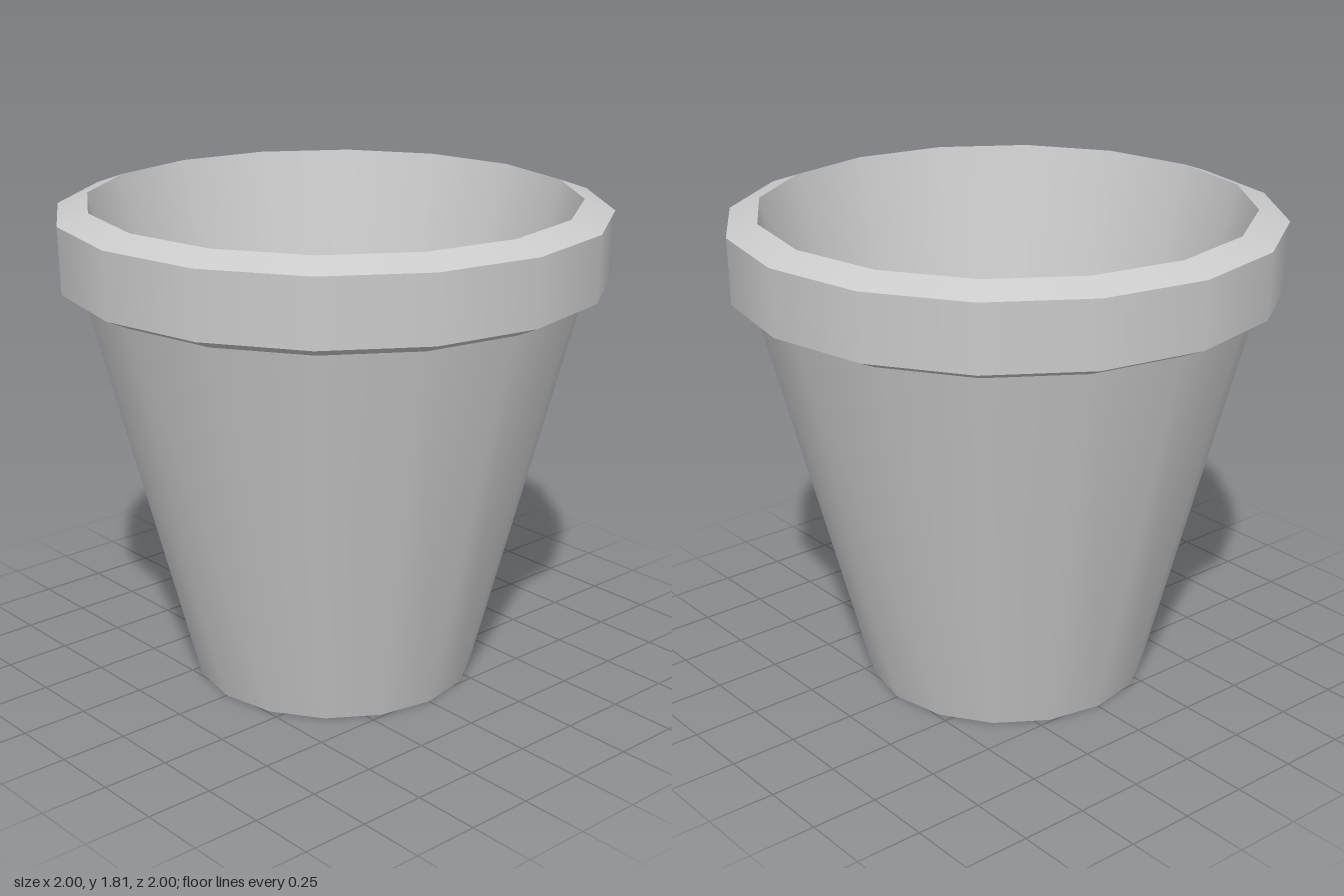
import * as THREE from 'three';

const SIDES = 16;
const material = new THREE.MeshStandardMaterial({ color: 0xcccccc });

// Each profile step is its own ring, so it is smooth around but sharp between steps.
function addRings(parent, name, profile) {
  const part = new THREE.Group();
  part.name = name;
  for (let i = 0; i < profile.length - 1; i++) {
    const points = [profile[i], profile[i + 1]].map(([r, y]) => new THREE.Vector2(r, y));
    const ring = new THREE.Mesh(new THREE.LatheGeometry(points, SIDES), material);
    ring.name = `${name}Ring${i + 1}`;
    part.add(ring);
  }
  parent.add(part);
}

export function createModel() {
  const pot = new THREE.Group();
  pot.name = 'flowerPot';

  // Underside and tapered outer wall
  addRings(pot, 'outerBody', [[0.225, 0], [0.53, 0], [0.91, 1.49]]);

  // Overhanging collar with sloped lip
  addRings(pot, 'rim', [[0.91, 1.49], [0.995, 1.53], [1, 1.77], [0.89, 1.81]]);

  // Inner wall, floor and drainage hole
  addRings(pot, 'interior', [[0.89, 1.81], [0.475, 0.05], [0.225, 0.05], [0.225, 0]]);

  return pot;
}
